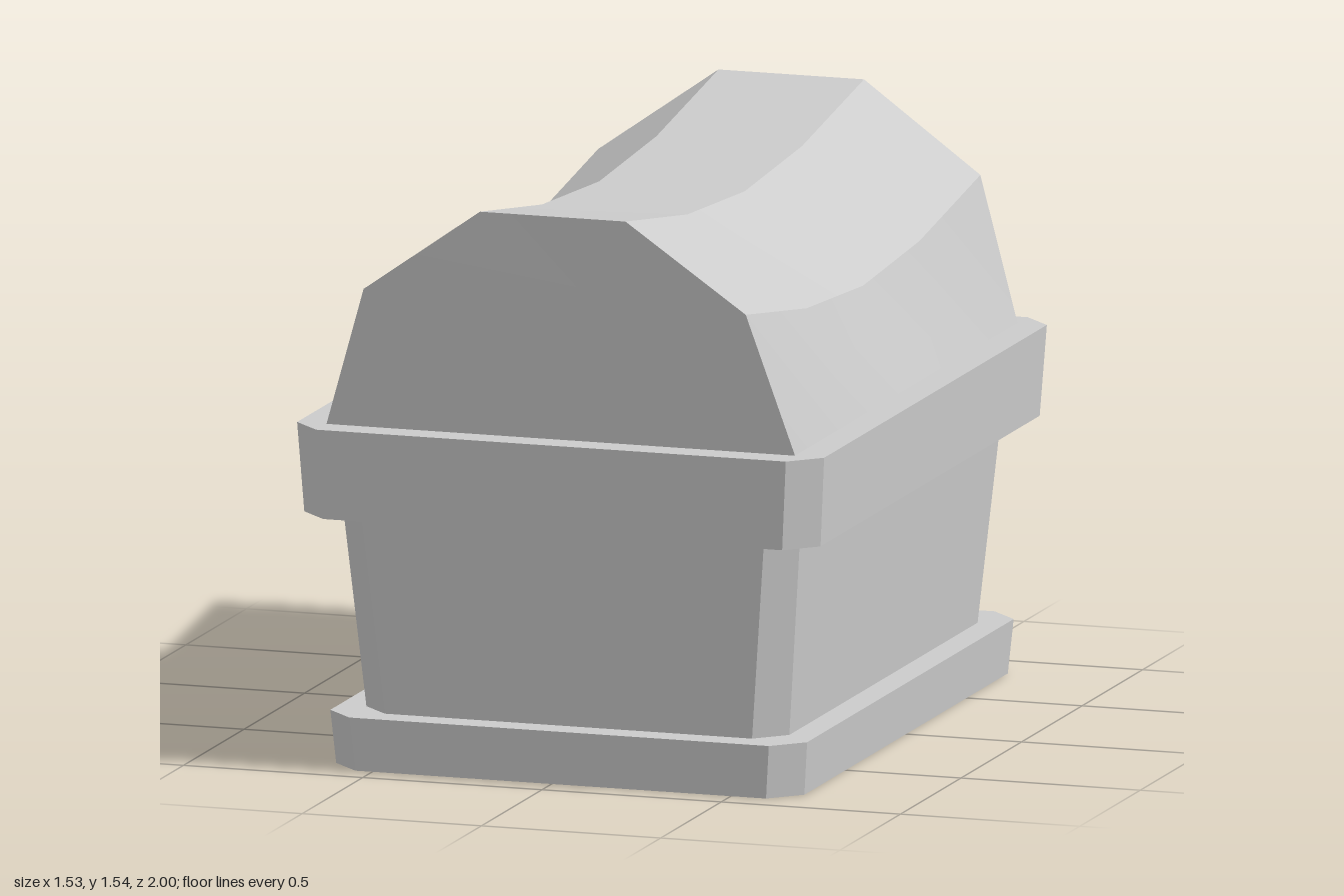
import * as THREE from 'three';
import { toCreasedNormals } from 'three/addons/utils/BufferGeometryUtils.js';

const material = new THREE.MeshStandardMaterial({ color: 0xcccccc });

// Skin a stack of convex rings of [x, y, z] points and cap both ends.
function loft(rings, crease) {
  const n = rings[0].length, last = (rings.length - 1) * n, index = [];
  for (let r = 0; r < last; r += n) {
    for (let i = 0; i < n; i++) {
      const j = (i + 1) % n;
      index.push(r + i, r + j, r + n + j, r + i, r + n + j, r + n + i);
    }
  }
  for (let i = 1; i < n - 1; i++) {
    index.push(0, i + 1, i, last, last + i, last + i + 1);
  }
  const geometry = new THREE.BufferGeometry();
  geometry.setAttribute('position', new THREE.Float32BufferAttribute(rings.flat(2), 3));
  geometry.setIndex(index);
  return toCreasedNormals(geometry, crease);
}

// Rectangle with chamfered corners at height y, counter-clockwise from above.
function chamferedRing(y, hx, hz, c) {
  return [
    [hx, y, hz - c], [hx, y, c - hz], [hx - c, y, -hz], [c - hx, y, -hz],
    [-hx, y, c - hz], [-hx, y, hz - c], [c - hx, y, hz], [hx - c, y, hz],
  ];
}

function addMesh(parent, name, geometry) {
  const mesh = new THREE.Mesh(geometry, material);
  mesh.name = name;
  parent.add(mesh);
  return mesh;
}

function createLid() {
  // Half profile: half width, end height, half length, sag at mid-length
  const half = [[0.655, 0.925, 0.918, 0], [0.533, 1.312, 0.969, 0.11], [0.203, 1.545, 0.985, 0.11]];
  const profile = [...half, ...half.slice().reverse().map(([x, ...rest]) => [-x, ...rest])];
  const stations = [[-1, 0], [-0.48, 0.73], [0, 1], [0.48, 0.73], [1, 0]];
  return loft(stations.map(([t, sag]) =>
    profile.map(([x, y, z, dip]) => [x, y - dip * sag, z * t])), 0.45);
}

function createLock() {
  const lock = new THREE.Group();
  lock.name = 'lock';
  const w = 0.16, h = 0.18, depth = 0.125, recess = 0.045;

  // Front plate pierced by a keyhole
  const plate = new THREE.Shape([[-w, -h], [w, -h], [w, h], [-w, h]].map((p) => new THREE.Vector2(...p)));
  const keyhole = new THREE.Path();
  keyhole.moveTo(-0.06, -0.115);
  keyhole.lineTo(-0.025, 0.012);
  keyhole.absarc(0, 0.06, 0.054, Math.PI * 1.35, Math.PI * 1.65, true);
  keyhole.lineTo(0.06, -0.115);
  keyhole.closePath();
  plate.holes.push(keyhole);
  const front = new THREE.ExtrudeGeometry(plate, { depth: recess, bevelEnabled: false, curveSegments: 10 });
  front.translate(0, 0, depth / 2 - recess);
  addMesh(lock, 'keyholePlate', front.rotateY(-Math.PI / 2));

  // Solid block behind the keyhole
  const back = new THREE.BoxGeometry(2 * w, 2 * h, depth - recess);
  back.translate(0, 0, -recess / 2);
  addMesh(lock, 'lockBlock', back.rotateY(-Math.PI / 2));

  lock.position.set(-0.686, 0.807, 0);
  lock.rotation.z = 0.095;
  return lock;
}

export function createModel() {
  const model = new THREE.Group();
  model.name = 'chest';

  // Flared tiers: bottom and top [y, half width, half length, chamfer]
  const tiers = {
    base: [[0, 0.653, 0.92, 0.08], [0.145, 0.665, 0.933, 0.08]],
    body: [[0.1, 0.586, 0.851, 0.078], [0.72, 0.64, 0.908, 0.075]],
    rimBand: [[0.687, 0.72, 0.985, 0.08], [0.93, 0.735, 1.0, 0.08]],
  };
  const chest = new THREE.Group();
  chest.name = 'chestBody';
  chest.position.x = 0.025;
  for (const [name, [bottom, top]] of Object.entries(tiers)) {
    addMesh(chest, name, loft([chamferedRing(...bottom), chamferedRing(...top)], 0.3));
  }

  // Lid with a saddle-like sag along its length
  addMesh(chest, 'lid', createLid());

  model.add(chest, createLock());
  return model;
}
